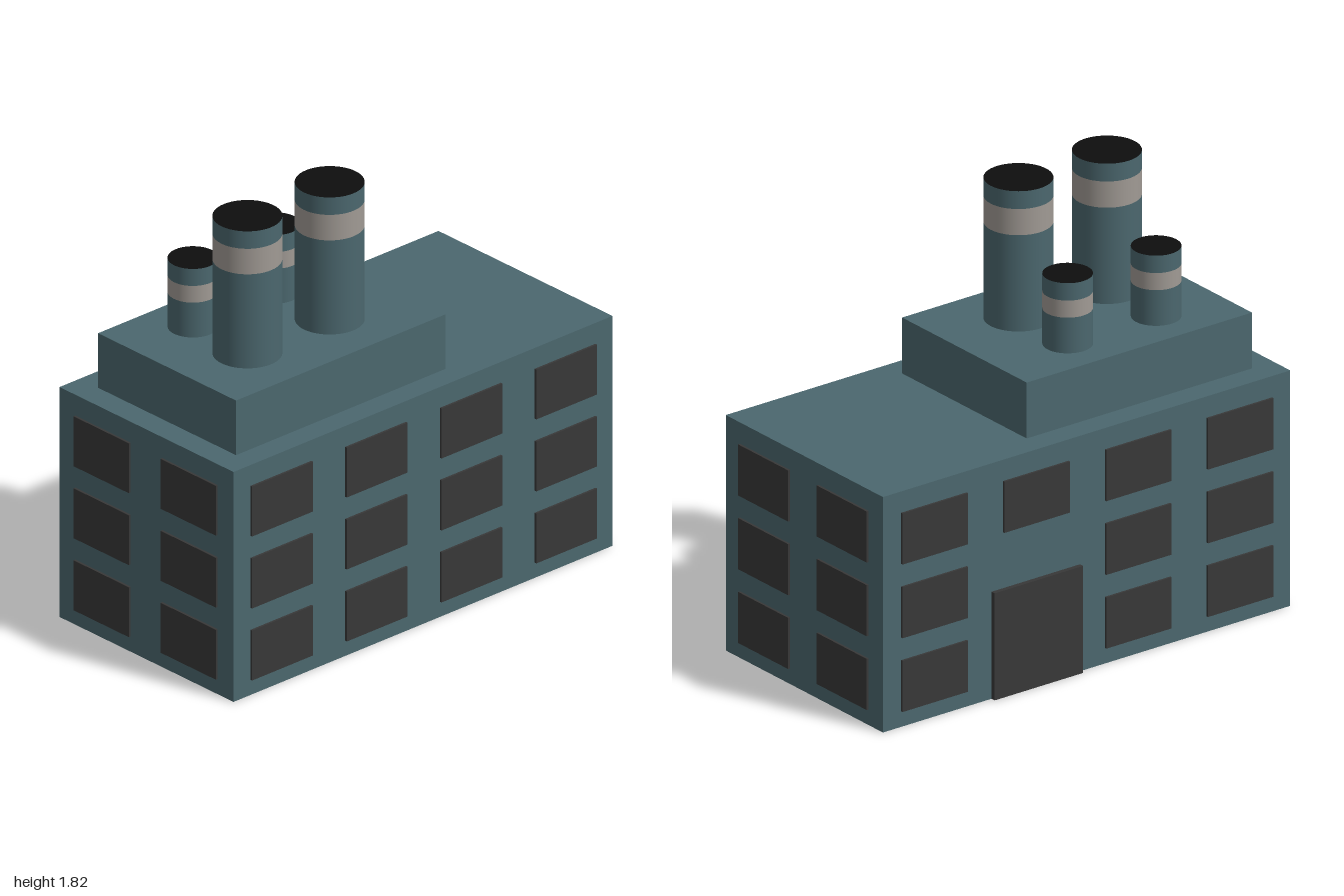
import * as THREE from 'three';

export function createModel() {
  const mat = (name, color) => {
    const m = new THREE.MeshStandardMaterial({ color });
    m.name = name;
    return m;
  };
  const wall = mat('teal wall', 0x4b676e);
  const pane = mat('dark pane', 0x383838);
  const stripe = mat('pale stripe', 0xa09a94);
  const soot = mat('black soot', 0x0e0e0e);

  const root = new THREE.Group();
  root.name = 'factory';

  const add = (name, geometry, material, x, y, z, parent = root) => {
    const mesh = new THREE.Mesh(geometry, material);
    mesh.name = name;
    mesh.position.set(x, y, z);
    parent.add(mesh);
    return mesh;
  };

  // Main hall and raised roof block
  const halfX = 0.99, zFront = 0.5, zBack = -0.49, zMid = 0.005;
  add('mainHall', new THREE.BoxGeometry(1.98, 0.99, 0.99), wall, 0, 0.495, zMid);
  add('roofBlock', new THREE.BoxGeometry(1.095, 0.235, 0.785), wall, -0.3375, 1.1075, 0.0075);

  // Windows: thin plates on all four walls
  const t = 0.0095;
  const longPane = new THREE.BoxGeometry(0.318, 0.215, t);
  const sidePane = new THREE.BoxGeometry(t, 0.215, 0.315);
  const rows = [0.173, 0.483, 0.793];
  const columns = [-0.7425, -0.2475, 0.2475, 0.7425];
  rows.forEach((y, row) => {
    columns.forEach((x, col) => {
      add('frontWindow', longPane, pane, x, y, zFront + t / 2);
      // The back door takes the place of two windows
      if (col !== 2 || row === 2) add('backWindow', longPane, pane, x, y, zBack - t / 2);
    });
    for (const side of [-1, 1]) {
      for (const z of [zMid - 0.2475, zMid + 0.2475]) {
        add('sideWindow', sidePane, pane, side * (halfX + t / 2), y, z);
      }
    }
  });

  // Back door stands a little prouder than the windows
  add('backDoor', new THREE.BoxGeometry(0.43, 0.45, 0.02), pane, 0.2475, 0.225, zBack - 0.01);

  // Chimneys: flush shaft, stripe and rim rings under a sooty disc
  const chimney = (name, x, z, r, bandLow, bandHigh, top) => {
    const group = new THREE.Group();
    group.name = name;
    group.position.set(x, 0, z);
    root.add(group);
    const ring = (part, low, high, material) =>
      add(part, new THREE.CylinderGeometry(r, r, high - low, 48, 1, true), material, 0, (low + high) / 2, 0, group);
    ring('shaft', 1.225, bandLow, wall);
    ring('stripe', bandLow, bandHigh, stripe);
    ring('rim', bandHigh, top, wall);
    add('opening', new THREE.CircleGeometry(r, 48).rotateX(-Math.PI / 2), soot, 0, top, 0, group);
  };
  for (const x of [-0.575, -0.145]) {
    chimney('tallChimney', x, 0.127, 0.135, 1.63, 1.74, 1.815);
    chimney('shortChimney', x, -0.183, 0.098, 1.375, 1.447, 1.52);
  }

  return root;
}
